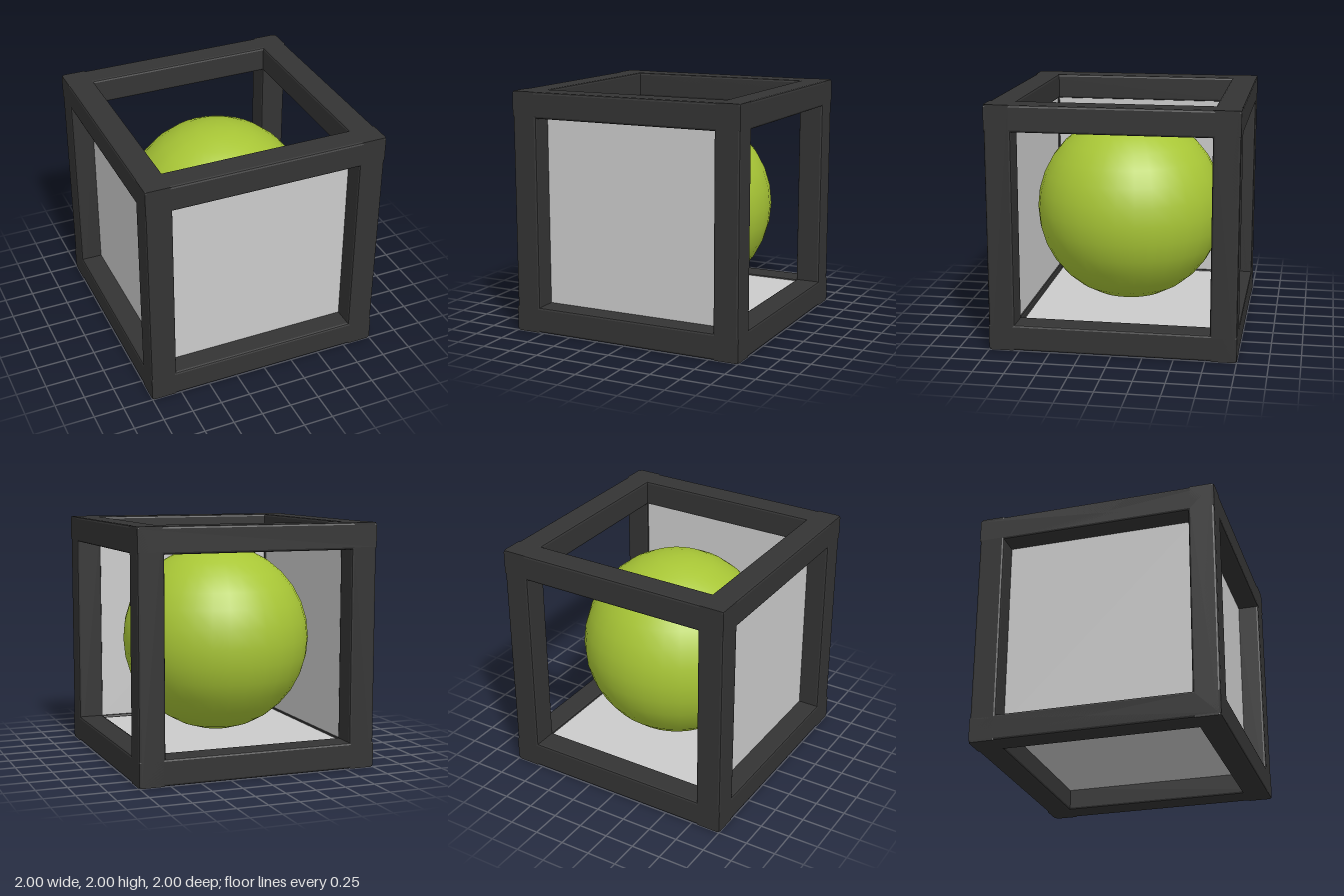
import * as THREE from 'three';

const OUTER = 1, INNER = 0.785, BEVEL = 0.018;

// Square window frame with bevelled edges, its outer face at z = 1
function frameGeometry() {
  const square = (Path, r) => {
    const p = new Path();
    p.moveTo(-r, -r);
    p.lineTo(r, -r);
    p.lineTo(r, r);
    p.lineTo(-r, r);
    p.closePath();
    return p;
  };
  const shape = square(THREE.Shape, OUTER - BEVEL);
  shape.holes.push(square(THREE.Path, INNER + BEVEL));
  const depth = OUTER - INNER - 2 * BEVEL;
  const geometry = new THREE.ExtrudeGeometry(shape, {
    depth, bevelEnabled: true, bevelSize: BEVEL, bevelThickness: BEVEL, bevelSegments: 2,
  });
  return geometry.translate(0, 0, INNER + BEVEL);
}

export function createModel() {
  const model = new THREE.Group();
  model.name = 'ballInCubeFrame';
  const dark = new THREE.MeshStandardMaterial({ color: 0x343434 });
  const grey = new THREE.MeshStandardMaterial({ color: 0xcccccc });
  const green = new THREE.MeshStandardMaterial({ color: 0xa8c636 });

  const add = (name, geometry, material, parent = model) => {
    const mesh = new THREE.Mesh(geometry, material);
    mesh.name = name;
    parent.add(mesh);
    return mesh;
  };

  // Cube frame: one window frame per side
  const frame = new THREE.Group();
  frame.name = 'cubeFrame';
  frame.position.y = 1;
  model.add(frame);
  const window = frameGeometry();
  const quarter = Math.PI / 2;
  const sides = {
    front: [0, 0], left: [0, quarter], back: [0, Math.PI],
    right: [0, -quarter], top: [-quarter, 0], bottom: [quarter, 0],
  };
  for (const [side, [rx, ry]] of Object.entries(sides)) {
    add(side + 'Frame', window, dark, frame).rotation.set(rx, ry, 0);
  }

  // Panels closing the front, right and bottom openings
  add('frontPanel', new THREE.BoxGeometry(1.6, 1.6, 0.02), grey).position.set(0, 1, 0.81);
  add('rightPanel', new THREE.BoxGeometry(0.02, 1.6, 1.6), grey).position.set(-0.81, 1, 0);
  add('bottomPanel', new THREE.BoxGeometry(1.6, 0.02, 1.555), grey).position.set(0, 0.19, -0.0225);

  // Ball, with a shallow crease down the meridian facing the right panel
  const ball = new THREE.SphereGeometry(0.79, 32, 16);
  const pos = ball.attributes.position;
  for (let i = 0; i < pos.count; i++) {
    if (pos.getX(i) < 0 && Math.abs(pos.getZ(i)) < 0.001) pos.setX(i, pos.getX(i) * 0.96);
  }
  add('ball', ball, green).position.y = 1;

  return model;
}
